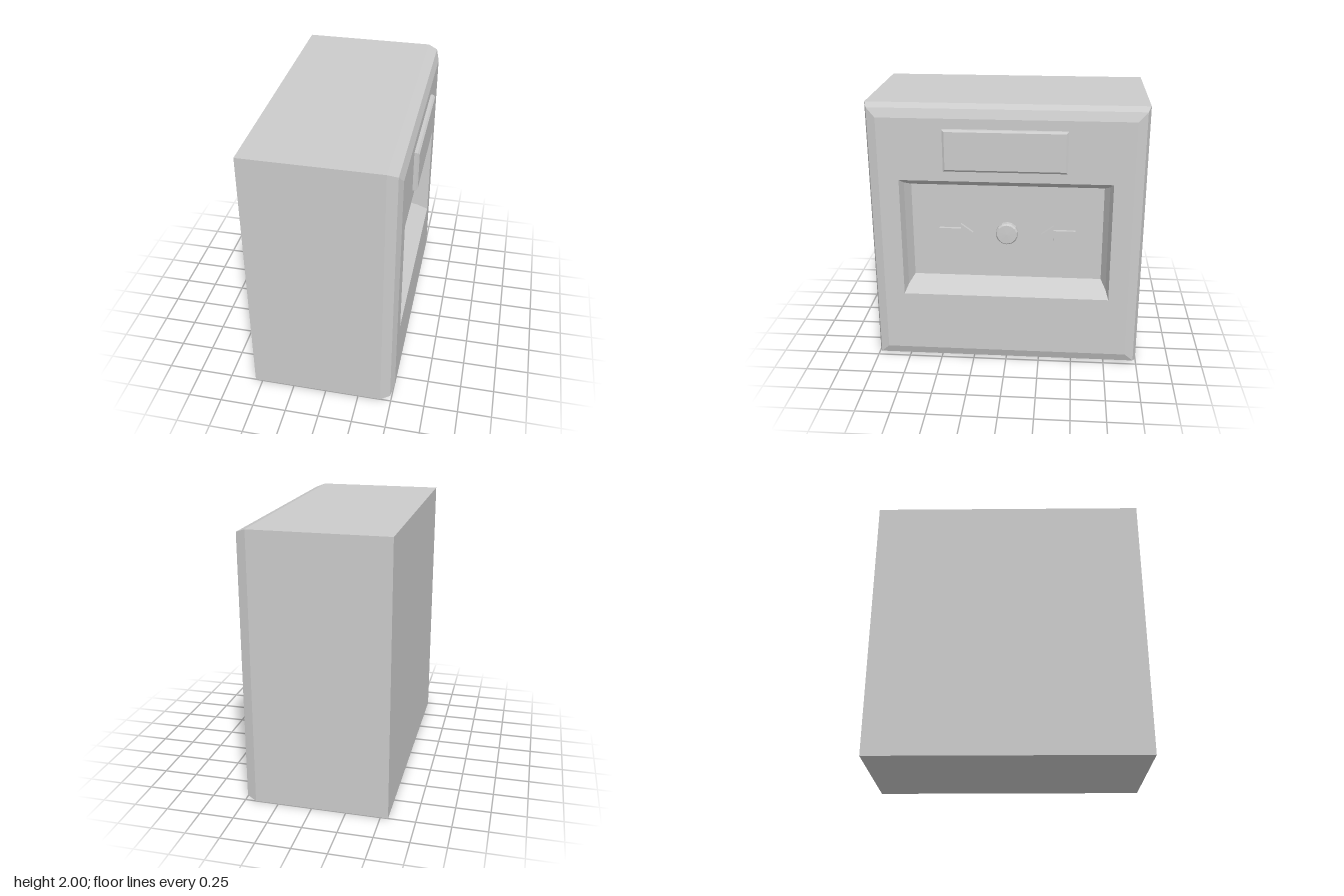
import * as THREE from 'three';

const material = new THREE.MeshStandardMaterial({ color: 0xcccccc, flatShading: true });

// Closed loft through rectangles [left, right, bottom, top, depth], ordered from back to front
function rectLoft(rings) {
  const pos = [];
  const corners = rings.map(([l, r, b, t, d]) => [[l, b, d], [r, b, d], [r, t, d], [l, t, d]]);
  const quad = (a, b, c, d) => pos.push(...a, ...b, ...c, ...a, ...c, ...d);
  for (let i = 0; i < corners.length - 1; i++) {
    for (let j = 0; j < 4; j++) {
      const k = (j + 1) % 4;
      quad(corners[i][j], corners[i][k], corners[i + 1][k], corners[i + 1][j]);
    }
  }
  const [a, b, c, d] = corners[0];
  quad(d, c, b, a);
  quad(...corners[corners.length - 1]);
  const geo = new THREE.BufferGeometry();
  geo.setAttribute('position', new THREE.Float32BufferAttribute(pos, 3));
  geo.computeVertexNormals();
  return geo;
}

export function createModel() {
  const model = new THREE.Group();
  model.name = 'callPoint';
  const unit = new THREE.Group(); // modelled facing +z, then turned to face +x
  unit.name = 'wallUnit';
  unit.rotation.y = Math.PI / 2;
  model.add(unit);

  const add = (name, geo, x = 0, y = 0, z = 0) => {
    const mesh = new THREE.Mesh(geo, material);
    mesh.name = name;
    mesh.position.set(x, y, z);
    unit.add(mesh);
    return mesh;
  };

  const face = 0.515, floor = 0.345, midY = 1.003;

  // Housing with bevelled front rim, running on into the sloped recess
  add('housing', rectLoft([
    [-1, 1, 0, 2, -0.555],
    [-1, 1, 0, 2, 0.42],
    [-0.975, 0.975, 0.025, 1.975, 0.49],
    [-0.91, 0.91, 0.09, 1.91, face],
    [-0.765, 0.765, 0.55, 1.455, face],
    [-0.745, 0.745, 0.595, 1.41, 0.435],
    [-0.71, 0.71, 0.64, 1.37, floor],
  ]));

  // Raised label plate above the recess
  add('labelPlate', rectLoft([
    [-0.44, 0.44, 1.535, 1.838, face - 0.01],
    [-0.44, 0.44, 1.535, 1.838, 0.538],
    [-0.425, 0.425, 1.55, 1.825, 0.55],
  ]));

  // Round press button with a chamfered edge
  const profile = [[0, 0], [0.083, 0], [0.083, 0.035], [0.073, 0.048], [0, 0.05]]
    .map(([r, h]) => new THREE.Vector2(r, h));
  add('button', new THREE.LatheGeometry(profile, 14), 0, midY, floor).rotation.x = Math.PI / 2;

  // Raised arrows pointing inward at the button
  for (const s of [-1, 1]) {
    const arrow = new THREE.Shape([
      [0.255, 0], [0.345, -0.066], [0.345, -0.03], [0.507, -0.03],
      [0.507, 0.03], [0.345, 0.03], [0.345, 0.066],
    ].map(([x, y]) => new THREE.Vector2(s * x, y)));
    add(s < 0 ? 'arrowA' : 'arrowB',
      new THREE.ExtrudeGeometry(arrow, { depth: 0.025, bevelEnabled: false }), 0, midY, floor);
  }

  return model;
}
